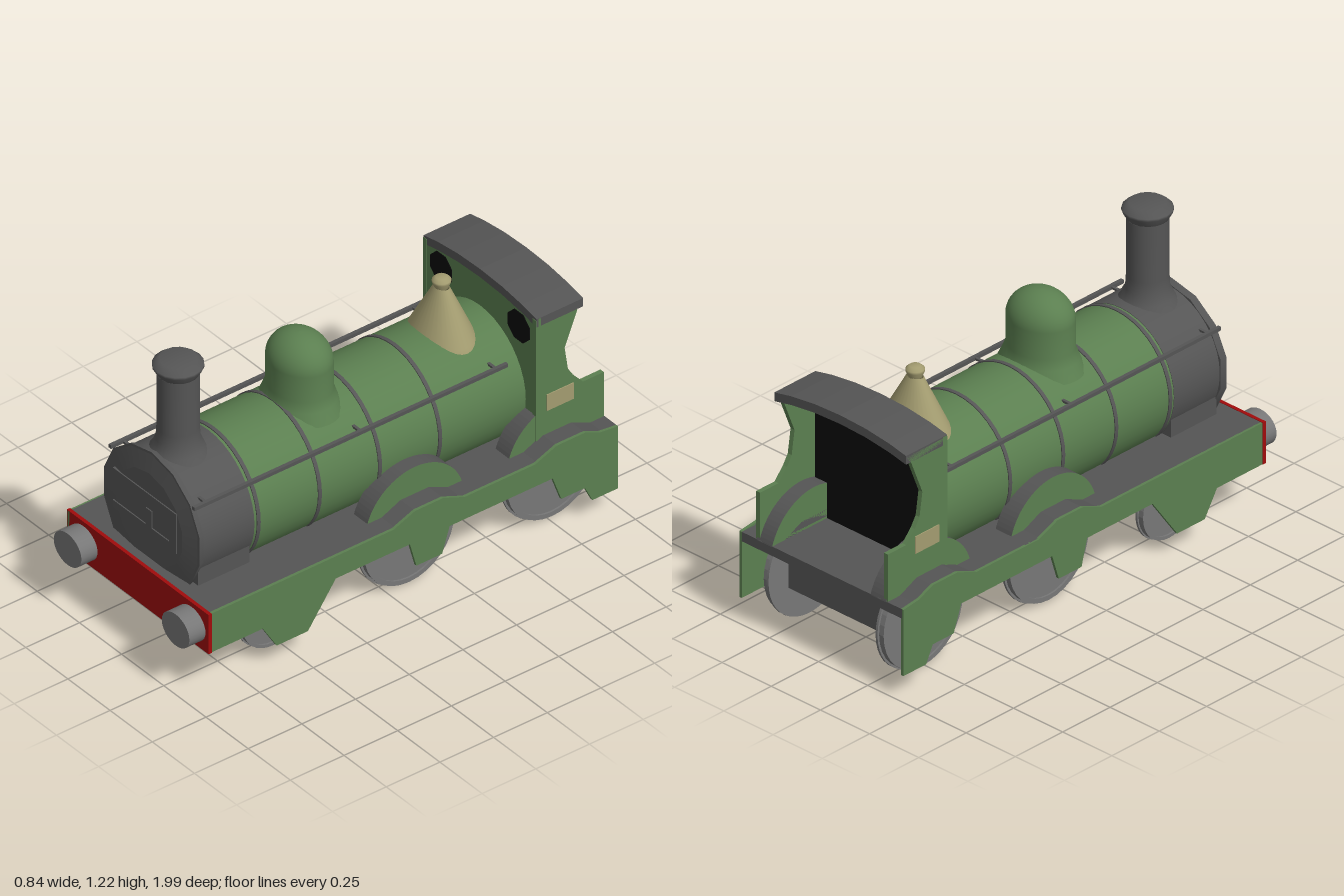
import * as THREE from 'three';

const mat = (color) => new THREE.MeshStandardMaterial({ color, side: THREE.DoubleSide });

export function createModel() {
  const model = new THREE.Group();
  const green = mat(0x5b7f50), grey = mat(0x555555), steel = mat(0x777777);
  const red = mat(0xa00c0c), black = mat(0x0a0a0a), brass = mat(0xa39c70);

  const add = (name, geo, material, x = 0, y = 0, z = 0) => {
    const m = new THREE.Mesh(geo, material);
    m.name = name;
    m.position.set(x, y, z);
    model.add(m);
    return m;
  };
  // box from its limits
  const box = (name, material, x0, x1, y0, y1, z0, z1) =>
    add(name, new THREE.BoxGeometry(x1 - x0, y1 - y0, z1 - z0), material,
      (x0 + x1) / 2, (y0 + y1) / 2, (z0 + z1) / 2);
  const shape = (pts) => new THREE.Shape(pts.map(([a, b]) => new THREE.Vector2(a, b)));
  const extrude = (s, depth) => new THREE.ExtrudeGeometry(s, { depth, bevelEnabled: false, curveSegments: 16 });
  // (z, y) outline swept across x
  const sideways = (s, x0, x1) => extrude(s, x1 - x0).rotateY(-Math.PI / 2).translate(x1, 0, 0);
  // cylinder lying along z
  const alongZ = (r0, r1, z0, z1, n = 32) =>
    new THREE.CylinderGeometry(r1, r0, z1 - z0, n).rotateX(Math.PI / 2).translate(0, 0, (z0 + z1) / 2);
  const lathe = (pts, n = 32) => new THREE.LatheGeometry(pts.map(([r, y]) => new THREE.Vector2(r, y)), n);

  // chassis and footplate
  box('chassis', grey, -0.25, 0.25, 0.17, 0.35, -0.9, 0.89);
  box('footplate', grey, -0.41, 0.41, 0.34, 0.38, -0.985, 0.915);
  box('bufferBeam', red, -0.42, 0.42, 0.205, 0.382, 0.91, 0.925);

  // boiler, bands and smokebox
  const axisY = 0.56;
  add('boiler', alongZ(0.27, 0.27, -0.67, 0.595, 40), green, 0, axisY);
  for (const z of [0.575, 0.29, 0.01, -0.27])
    add('boilerBand', alongZ(0.274, 0.274, z - 0.008, z + 0.008, 40), grey, 0, axisY);
  add('smokebox', alongZ(0.272, 0.272, 0.595, 0.85, 40), grey, 0, axisY);
  add('smokeboxRim', alongZ(0.282, 0.29, 0.835, 0.86, 14), grey, 0, axisY);
  add('smokeboxDoor', alongZ(0.28, 0.2, 0.86, 0.872, 14), grey, 0, axisY);
  box('smokeboxSaddle', grey, -0.25, 0.25, 0.36, 0.5, 0.6, 0.84);

  // strap on the smokebox door
  add('doorStrap', extrude(shape([
    [-0.21, 0.67], [-0.21, 0.635], [0.125, 0.635], [0.125, 0.525], [0.02, 0.525], [0.02, 0.6],
    [-0.015, 0.6], [-0.015, 0.525], [-0.21, 0.525], [-0.21, 0.49], [0.165, 0.49], [0.165, 0.67],
  ]), 0.013), grey, 0, 0, 0.864);

  // chimney
  add('chimney', lathe([[0.13, 0.79], [0.1, 0.83], [0.083, 0.87], [0.08, 0.92], [0.08, 1.16]]), grey, 0, 0, 0.737);
  add('chimneyCap', lathe([[0.08, 1.16], [0.097, 1.19], [0.097, 1.2], [0.07, 1.222], [0, 1.222]], 16), grey, 0, 0, 0.737);

  // steam dome, a little wider than long
  const domeProfile = [[0.15, 0.77], [0.13, 0.82], [0.117, 0.86]];
  for (let i = 0; i <= 10; i++) {
    const a = (i / 10) * Math.PI / 2;
    domeProfile.push([0.117 * Math.cos(a), 0.973 + 0.117 * Math.sin(a)]);
  }
  add('steamDome', lathe(domeProfile), green, 0, 0, 0.172).scale.x = 1.2;

  // safety valve
  add('safetyValve', lathe([[0.118, 0.77], [0.11, 0.8], [0.026, 1.0]]), brass, 0, 0, -0.49).scale.x = 1.35;
  add('safetyValveLip', lathe([[0.026, 0.995], [0.036, 1.02], [0.036, 1.03], [0.022, 1.042], [0, 1.042]], 20), brass, 0, 0, -0.49);

  // cab front with arched top and eight-sided windows
  const cabZ = -0.67;
  const arch = [[0.335, 0.955], [0.25, 0.973], [0.13, 0.988], [0, 0.993], [-0.13, 0.988], [-0.25, 0.973], [-0.335, 0.955]];
  add('cabFront', extrude(shape([[-0.335, 0.38], [0.335, 0.38], ...arch]), 0.02), green, 0, 0, cabZ - 0.02);
  add('cabInterior', extrude(shape([[-0.31, 0.38], [0.31, 0.38], [0.31, 0.93], [0, 0.96], [-0.31, 0.93]]), 0.005), black, 0, 0, cabZ - 0.026);
  const lower = arch.map(([x, y]) => [x, y - 0.035]).reverse();
  add('cabRoof', extrude(shape([...lower, ...arch.map(([x, y]) => [x, y + 0.002])]), 0.217), grey, 0, 0, -0.886);

  const cabSide = [[-0.667, 0.38], [-0.667, 0.95], [-0.884, 0.95], [-0.86, 0.92], [-0.8, 0.77],
    [-0.815, 0.67], [-0.84, 0.63], [-0.885, 0.58], [-0.982, 0.58], [-0.982, 0.38]];

  // lower frame plate, rising over the two driving wheels
  const valance = [[0.925, 0.38], [0.925, 0.205], [0.67, 0.205], [0.605, 0.1], [0.46, 0.1], [0.33, 0.28],
    [-0.015, 0.28], [-0.045, 0.17], [-0.165, 0.17], [-0.2, 0.28], [-0.68, 0.28], [-0.72, 0.17],
    [-0.83, 0.17], [-0.865, 0.1], [-0.985, 0.1], [-0.985, 0.38], [-0.9, 0.39], [-0.83, 0.42],
    [-0.7, 0.42], [-0.6, 0.38], [-0.27, 0.38], [-0.17, 0.42], [-0.04, 0.42], [0.06, 0.38]];

  const wheels = [[0.535, 0.145], [-0.1, 0.217], [-0.765, 0.217]];

  for (const s of [-1, 1]) {
    // centre the part on its own side
    const onSide = (x0, x1) => (s > 0 ? [x0, x1] : [-x1, -x0]);

    const win = new THREE.CylinderGeometry(0.069, 0.069, 0.006, 8).rotateY(Math.PI / 8).rotateX(Math.PI / 2);
    add('cabWindow', win, black, s * 0.23, 0.868, cabZ);
    add('cabSide', sideways(shape(cabSide), ...onSide(0.315, 0.335)), green);
    box('cabPlate', brass, ...onSide(0.33, 0.339), 0.525, 0.597, -0.84, -0.715);
    add('valance', sideways(shape(valance), ...onSide(0.405, 0.417)), green);

    // raised footplate and splashers above the driving wheels
    for (const z of [-0.105, -0.765]) {
      const hump = shape([[z + 0.165, 0.375], [z - 0.165, 0.375], [z - 0.065, 0.42], [z + 0.065, 0.42]]);
      add('footplateRise', sideways(hump, ...onSide(0.25, 0.405)), grey);
      const arc = new THREE.Shape();
      arc.absarc(z, 0.309, 0.231, 0.3, Math.PI - 0.3, false);
      add('splasher', sideways(arc, ...onSide(0.25, 0.33)), [green, grey]);
    }

    // wheels with raised rim and inner flange
    for (const [z, r] of wheels) {
      const disc = (radius, x0, x1) => new THREE.CylinderGeometry(radius, radius, x1 - x0, 40)
        .rotateZ(Math.PI / 2).translate(s * (x0 + x1) / 2, 0, 0);
      add('wheelDisc', disc(r * 0.9, 0.275, 0.297), steel, 0, r, z);
      add('wheelFlange', disc(r, 0.272, 0.282), steel, 0, r, z);
      const rim = new THREE.Shape().absarc(0, 0, r * 0.96, 0, Math.PI * 2);
      rim.holes.push(new THREE.Path().absarc(0, 0, r * 0.87, 0, Math.PI * 2, true));
      add('wheelRim', sideways(rim, ...onSide(0.28, 0.305)), steel, 0, r, z);
    }

    // buffers, slightly oval
    add('buffer', alongZ(0.082, 0.082, 0.92, 1.0, 28), steel, s * 0.32, 0.292).scale.y = 0.86;

    // handrail with small brackets
    box('handrail', grey, ...onSide(0.24, 0.255), 0.728, 0.743, -0.6, 0.86);
    for (const z of [-0.55, 0.08, 0.8])
      box('handrailBracket', grey, ...onSide(0.19, 0.245), 0.731, 0.74, z - 0.006, z + 0.006);
  }

  return model;
}
